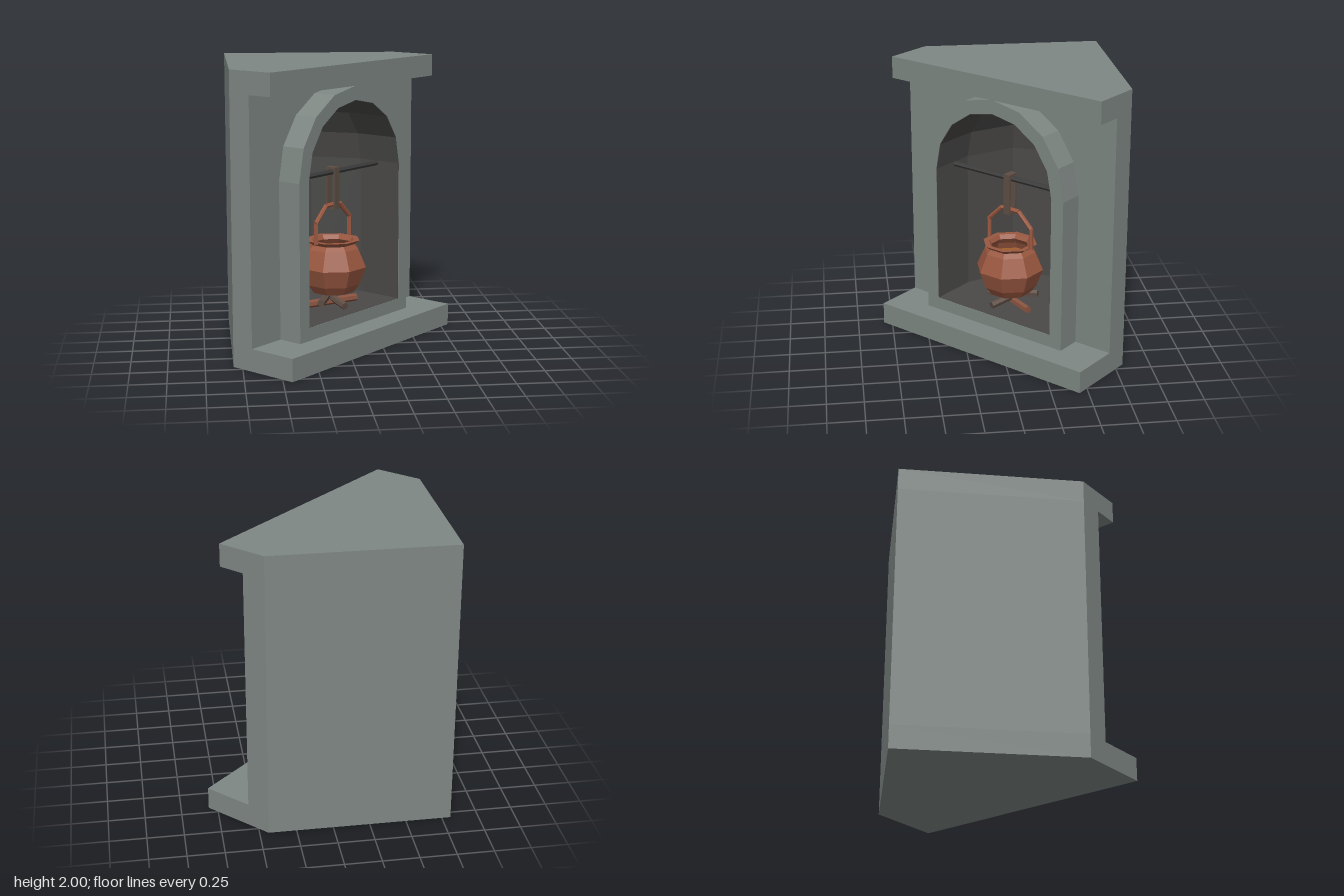
import * as THREE from 'three';

const SPRING = 1.247; // height where the arches start to curve

const mat = (color) => new THREE.MeshStandardMaterial({ color, flatShading: true, side: THREE.DoubleSide });
const stone = mat(0x7e8783), soot = mat(0x4a4948), iron = mat(0x3c3c3c);
const copper = mat(0x9a5840), wood = mat(0x5e4e44), redWood = mat(0x8a5340), broth = mat(0xa0602a);

function add(parent, name, geometry, material) {
  const mesh = new THREE.Mesh(geometry, material);
  mesh.name = name;
  parent.add(mesh);
  return mesh;
}

// Round-headed outline, eight facets over the curve
function archPoints(r, bottom) {
  const pts = [new THREE.Vector2(r, bottom)];
  for (let i = 0; i <= 8; i++) {
    const a = (i / 8) * Math.PI;
    pts.push(new THREE.Vector2(r * Math.cos(a), SPRING + r * Math.sin(a)));
  }
  pts.push(new THREE.Vector2(-r, bottom));
  return pts;
}

// Upright plate with an arched opening, from z0 to z1
function archedPlate(outline, r, bottom, z0, z1) {
  const shape = new THREE.Shape(outline);
  shape.holes.push(new THREE.Path(archPoints(r, bottom)));
  return new THREE.ExtrudeGeometry(shape, { depth: z1 - z0, bevelEnabled: false }).translate(0, 0, z0);
}

// Floor plan given as [x, z], raised from y0 to y1
function planPrism(plan, y0, y1) {
  const shape = new THREE.Shape(plan.map(([x, z]) => new THREE.Vector2(x, -z)));
  return new THREE.ExtrudeGeometry(shape, { depth: y1 - y0, bevelEnabled: false })
    .rotateX(-Math.PI / 2).translate(0, y0, 0);
}

// Straight bar between two points
function bar(a, b, radius, sides) {
  const from = new THREE.Vector3(...a), to = new THREE.Vector3(...b);
  const dir = to.clone().sub(from);
  const g = new THREE.CylinderGeometry(radius, radius, dir.length(), sides);
  g.applyQuaternion(new THREE.Quaternion().setFromUnitVectors(new THREE.Vector3(0, 1, 0), dir.normalize()));
  return g.translate(...from.add(to).multiplyScalar(0.5).toArray());
}

const lathe = (pts, sides, start = Math.PI / 8, length = Math.PI * 2) =>
  new THREE.LatheGeometry(pts.map(([x, y]) => new THREE.Vector2(x, y)), sides, start, length);

export function createModel() {
  const model = new THREE.Group();
  model.name = 'cornerFireplace';
  const hearth = new THREE.Group(); // built facing +z, then turned into the corner
  hearth.name = 'hearth';
  hearth.rotation.y = Math.PI / 4;
  model.add(hearth);

  const W = 0.884, SIDE = -0.262, BACK = -1.146, WALL = -0.092;

  // Base and mantel slabs
  const slab = (front) => [[0, BACK], [W, SIDE], [W, front], [-W, front], [-W, SIDE]];
  add(hearth, 'baseSlab', planPrism(slab(0.262), 0, 0.157), stone);
  add(hearth, 'mantelSlab', planPrism(slab(0.092), 1.845, 2), stone);

  // Back walls, hollowed for the fire chamber
  const back = [[-W, SIDE], [0, BACK], [W, SIDE]];
  for (let i = 0; i <= 4; i++) {
    const a = (i / 4) * Math.PI;
    back.push([0.52 * Math.cos(a), SIDE - 0.52 * Math.sin(a)]);
  }
  add(hearth, 'backWalls', planPrism(back, 0.157, 1.845), stone);

  // Front wall and raised arch surround
  const wall = [[-W, 0.157], [W, 0.157], [W, 1.845], [-W, 1.845]].map((p) => new THREE.Vector2(...p));
  add(hearth, 'frontWall', archedPlate(wall, 0.51, 0.24, SIDE, WALL), stone);
  add(hearth, 'archSurround', archedPlate(archPoints(0.598, 0.157), 0.5, 0.248, WALL, 0.085), stone);

  // Sooty lining: straight tunnel, then a half-octagon apse with a half dome
  add(hearth, 'tunnelLining', archedPlate(archPoints(0.515, 0.235), 0.497, 0.25, SIDE, 0.082), soot);
  const apse = [[0, 0.25], [0.497, 0.25]];
  for (let i = 0; i <= 4; i++) {
    const a = (i / 8) * Math.PI;
    apse.push([0.497 * Math.cos(a), SPRING + 0.497 * Math.sin(a)]);
  }
  add(hearth, 'apseLining', lathe(apse, 4, Math.PI / 2, Math.PI), soot).position.z = SIDE;

  // Everything hanging over the fire shares one centre line
  const fire = new THREE.Group();
  fire.name = 'cookingSet';
  fire.position.z = -0.12;
  hearth.add(fire);

  add(fire, 'crossRod', bar([-0.5, 1.23, 0], [0.5, 1.23, 0], 0.019, 6), iron);

  // Hanger looped over the rod and under the handle
  for (const z of [-0.034, 0.034]) {
    add(fire, 'hangerStrap', new THREE.BoxGeometry(0.05, 0.295, 0.016).translate(0, 1.117, z), wood);
  }
  for (const y of [1.257, 0.977]) {
    add(fire, 'hangerEnd', new THREE.BoxGeometry(0.05, 0.015, 0.084).translate(0, y, 0), wood);
  }

  // Eight-sided pot, outside then inside
  add(fire, 'cauldron', lathe([
    [0, 0.375], [0.15, 0.375], [0.195, 0.435], [0.242, 0.56], [0.185, 0.69], [0.155, 0.72],
    [0.195, 0.75], [0.155, 0.75], [0.135, 0.72], [0.165, 0.68], [0.19, 0.62],
  ], 8), copper);
  add(fire, 'broth', new THREE.CircleGeometry(0.185, 8, Math.PI / 8).rotateX(-Math.PI / 2).translate(0, 0.63, 0), broth);

  // Bent handle
  const bend = [[-0.185, 0.74], [-0.185, 0.89], [-0.075, 0.997], [0.075, 0.997], [0.185, 0.89], [0.185, 0.74]];
  for (let i = 0; i < 5; i++) {
    add(fire, 'handle', bar([...bend[i], 0], [...bend[i + 1], 0], 0.016, 6), copper);
  }

  // Crossed firewood
  const logs = [
    [[-0.2, 0.295, -0.1], [0.2, 0.295, 0.05], redWood],
    [[-0.05, 0.295, 0.15], [0.06, 0.355, -0.18], wood],
    [[-0.17, 0.32, 0.03], [0.16, 0.35, -0.12], wood],
  ];
  for (const [a, b, m] of logs) add(fire, 'log', bar(a, b, 0.027, 6), m);

  return model;
}
